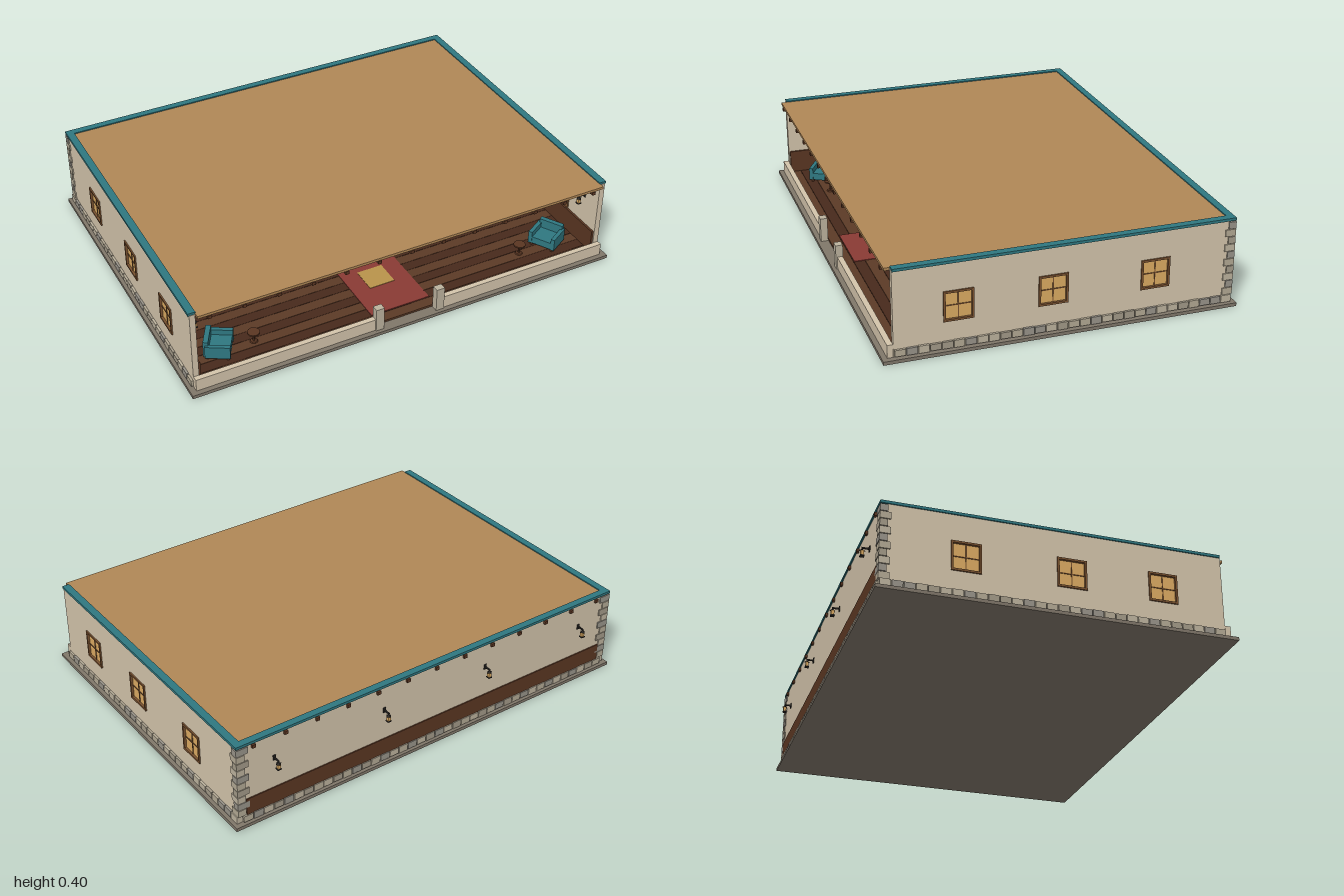
import * as THREE from 'three';

const C = {
  wall: 0xd3c4ab, roof: 0xb08756, teal: 0x2f7780, slab: 0x80776a, wood: 0x5a3622, plankA: 0x5c3a26, plankB: 0x47291b,
  frame: 0x7a5230, amber: 0xdcab62, iron: 0x2b2826, gold: 0xb8934a, rug: 0x8a3a34, pale: 0xc9d0d2, leaf: 0x5a8a45,
};
const STONES = [0xb3a994, 0xa39a88, 0xbdb39e, 0x99948a];
const mats = {};
const mat = (c) => (mats[c] ??= new THREE.MeshStandardMaterial({ color: c, flatShading: true }));

function add(parent, name, geo, color, x = 0, y = 0, z = 0) {
  const m = new THREE.Mesh(geo, mat(color));
  m.name = name;
  m.position.set(x, y, z);
  parent.add(m);
  return m;
}
// box given by its minimum and maximum on each axis
function span(parent, name, color, x0, x1, y0, y1, z0, z1) {
  return add(parent, name, new THREE.BoxGeometry(x1 - x0, y1 - y0, z1 - z0), color,
    (x0 + x1) / 2, (y0 + y1) / 2, (z0 + z1) / 2);
}
function group(parent, name, x = 0, y = 0, z = 0, ry = 0) {
  const g = new THREE.Group();
  g.name = name;
  g.position.set(x, y, z);
  g.rotation.y = ry;
  parent.add(g);
  return g;
}

// hanging lantern on a bracket reaching along +z from its wall
function lantern(parent, x, y, z, ry) {
  const g = group(parent, 'wallLantern', x, y, z, ry);
  span(g, 'bracketPlate', C.iron, -0.006, 0.006, -0.012, 0.012, 0, 0.004);
  span(g, 'bracketArm', C.iron, -0.003, 0.003, -0.003, 0.003, 0, 0.034);
  add(g, 'lanternCap', new THREE.ConeGeometry(0.013, 0.01, 4), C.iron, 0, -0.008, 0.031);
  add(g, 'lanternGlass', new THREE.BoxGeometry(0.013, 0.022, 0.013), C.amber, 0, -0.023, 0.031);
  add(g, 'lanternBase', new THREE.BoxGeometry(0.018, 0.005, 0.018), C.iron, 0, -0.036, 0.031);
}

// side wall on the +x side: pieces around three windows
function sideWall(parent) {
  const wins = [0.45, 0.058, -0.38], hw = 0.058;
  let z = 0.715;
  for (const w of wins) {
    span(parent, 'wallPanel', C.wall, 0.95, 0.975, 0.015, 0.385, w + hw, z);
    span(parent, 'wallBelowWindow', C.wall, 0.95, 0.975, 0.015, 0.14, w - hw, w + hw);
    span(parent, 'wallAboveWindow', C.wall, 0.95, 0.975, 0.26, 0.385, w - hw, w + hw);
    const g = group(parent, 'window', 0.9625, 0.2, w);
    span(g, 'pane', C.amber, -0.008, 0.008, -0.06, 0.06, -hw, hw);
    for (const s of [-1, 1]) {
      add(g, 'frameRail', new THREE.BoxGeometry(0.037, 0.009, 0.125), C.frame, 0, s * 0.061, 0);
      add(g, 'frameStile', new THREE.BoxGeometry(0.037, 0.13, 0.009), C.frame, 0, 0, s * 0.058);
    }
    add(g, 'mullion', new THREE.BoxGeometry(0.022, 0.12, 0.004), C.frame);
    add(g, 'transom', new THREE.BoxGeometry(0.022, 0.004, 0.115), C.frame);
    z = w - hw;
  }
  span(parent, 'wallPanel', C.wall, 0.95, 0.975, 0.015, 0.385, -0.7, z);
  span(parent, 'sideWainscot', C.wood, 0.94, 0.95, 0.025, 0.13, -0.7, 0.71);
  span(parent, 'sideTrim', C.teal, 0.947, 0.98, 0.383, 0.395, -0.73, 0.713);
  // foundation stones and back corner stones
  for (let i = 0; i < 30; i++) {
    const zc = 0.69 - i * 0.048;
    add(parent, 'foundationStone', new THREE.BoxGeometry(0.04, 0.028 + (i % 3) * 0.002, 0.044),
      STONES[(i * 7 + (i >> 2)) % 4], 0.965, 0.034, zc);
  }
  for (let i = 0; i < 10; i++) {
    const long = i % 2;
    add(parent, 'cornerStone', new THREE.BoxGeometry(long ? 0.055 : 0.038, 0.03, long ? 0.032 : 0.045),
      STONES[(i * 3) % 4], long ? 0.953 : 0.9615, 0.066 + i * 0.033, long ? -0.714 : -0.7075);
  }
}

// armchair facing +z
function armchair(parent, x, z, ry) {
  const g = group(parent, 'armchair', x, 0.025, z, ry);
  span(g, 'seat', C.teal, -0.05, 0.05, 0.012, 0.045, -0.045, 0.05);
  span(g, 'backrest', C.teal, -0.055, 0.055, 0.012, 0.088, -0.06, -0.038);
  for (const s of [-1, 1]) {
    add(g, 'armrest', new THREE.BoxGeometry(0.018, 0.058, 0.105), C.teal, s * 0.055, 0.041, 0);
    for (const t of [-1, 1]) add(g, 'chairFoot', new THREE.BoxGeometry(0.01, 0.014, 0.01), C.wood, s * 0.05, 0.007, t * 0.042);
  }
}

function table(parent, x, z) {
  const g = group(parent, 'sideTable', x, 0.025, z);
  add(g, 'tableTop', new THREE.CylinderGeometry(0.027, 0.027, 0.006, 12), C.wood, 0, 0.048, 0);
  add(g, 'tableLeg', new THREE.CylinderGeometry(0.005, 0.005, 0.046, 6), C.wood, 0, 0.023, 0);
  add(g, 'tableFoot', new THREE.CylinderGeometry(0.015, 0.018, 0.005, 8), C.wood, 0, 0.0025, 0);
}

function plant(parent, x, z) {
  const g = group(parent, 'pottedPlant', x, 0.025, z);
  add(g, 'pot', new THREE.CylinderGeometry(0.02, 0.014, 0.035, 8), C.frame, 0, 0.0175, 0);
  for (let i = 0; i < 7; i++) {
    const a = i * 0.9;
    const leaf = add(g, 'leaf', new THREE.ConeGeometry(0.008, 0.055, 4), C.leaf,
      Math.cos(a) * 0.017, 0.06, Math.sin(a) * 0.017);
    leaf.rotation.set(Math.sin(a) * 0.75, 0, -Math.cos(a) * 0.75);
  }
}

function chandelier(parent, x) {
  const g = group(parent, 'chandelier', x, 0.29, 0);
  add(g, 'chandelierDish', new THREE.CylinderGeometry(0.044, 0.03, 0.012, 16), C.gold);
  add(g, 'chandelierRod', new THREE.CylinderGeometry(0.002, 0.002, 0.09, 6), C.iron, 0, 0.045, 0);
  for (let i = 0; i < 6; i++) {
    const a = i * Math.PI / 3;
    add(g, 'candle', new THREE.CylinderGeometry(0.003, 0.003, 0.012, 6), C.amber, Math.cos(a) * 0.037, 0.009, Math.sin(a) * 0.037);
  }
}

// shield-shaped plaque outline
function shield(w, h, depth) {
  const s = new THREE.Shape();
  s.moveTo(-w, h);
  s.lineTo(w, h);
  s.lineTo(w, -h * 0.5);
  s.lineTo(0, -h);
  s.lineTo(-w, -h * 0.5);
  return new THREE.ExtrudeGeometry(s, { depth, bevelEnabled: false });
}

export function createModel() {
  const root = new THREE.Group();
  root.name = 'hall';

  // base and plank floor
  span(root, 'baseSlab', C.slab, -1, 1, 0, 0.015, -0.745, 0.762);
  const floor = group(root, 'plankFloor');
  for (let i = 0; i < 28; i++) {
    const z = -0.7 + i * 0.0505;
    span(floor, 'plank', i % 2 ? C.plankA : C.plankB, -0.95, 0.95, 0.015, 0.024, z, z + 0.049);
  }
  span(root, 'runnerRug', C.rug, -0.14, 0.14, 0.024, 0.027, -0.6, 0.66);
  for (const z of [0.44, 0, -0.44]) span(root, 'rugPatch', C.gold, -0.06, 0.06, 0.026, 0.029, z - 0.06, z + 0.06);

  // two mirrored sides, rotated halves use symmetric pieces
  const left = group(root, 'leftSide');
  sideWall(left);
  const right = left.clone();
  right.name = 'rightSide';
  right.scale.x = -1;
  root.add(right);

  // back wall
  span(root, 'backWall', C.wall, -0.95, 0.95, 0.015, 0.385, -0.725, -0.7);
  span(root, 'backBoarding', C.wood, -0.94, 0.94, 0.045, 0.125, -0.73, -0.724);
  span(root, 'backTrim', C.teal, -0.98, 0.98, 0.383, 0.395, -0.73, -0.698);
  for (let i = 0; i < 40; i++) {
    add(root, 'foundationStone', new THREE.BoxGeometry(0.044, 0.028 + (i % 3) * 0.002, 0.044),
      STONES[(i * 5 + (i >> 2)) % 4], (i - 19.5) * 0.048, 0.034, -0.7125);
  }
  for (const x of [-0.805, -0.268, 0.268, 0.805]) lantern(root, x, 0.27, -0.725, Math.PI);

  // flat roof on beams
  span(root, 'roof', C.roof, -0.95, 0.95, 0.378, 0.39, -0.7, 0.738);
  for (let i = -6; i <= 6; i++) span(root, 'roofBeam', C.wood, i * 0.15 - 0.008, i * 0.15 + 0.008, 0.364, 0.379, -0.735, 0.742);

  // furniture and low front wall, one set per side
  for (const s of [-1, 1]) {
    add(root, 'frontLowWall', new THREE.BoxGeometry(0.815, 0.056, 0.024), C.wall, s * 0.5675, 0.043, 0.728);
    add(root, 'entrancePost', new THREE.BoxGeometry(0.038, 0.11, 0.032), STONES[2], s * 0.145, 0.07, 0.73);
    armchair(root, s * 0.8, 0.57, -s * 1.05);
    table(root, s * 0.65, 0.58);
    plant(root, s * 0.9, -0.55);
    chandelier(root, s * 0.55);
    for (const z of [0.62, 0.25, -0.16]) lantern(root, s * 0.95, 0.275, z, -s * Math.PI / 2);
  }

  // plaque on the back wall
  add(root, 'plaqueBorder', shield(0.04, 0.05, 0.008), C.gold, 0, 0.243, -0.7);
  add(root, 'plaqueFace', shield(0.032, 0.041, 0.011), C.pale, 0, 0.244, -0.7);
  return root;
}
